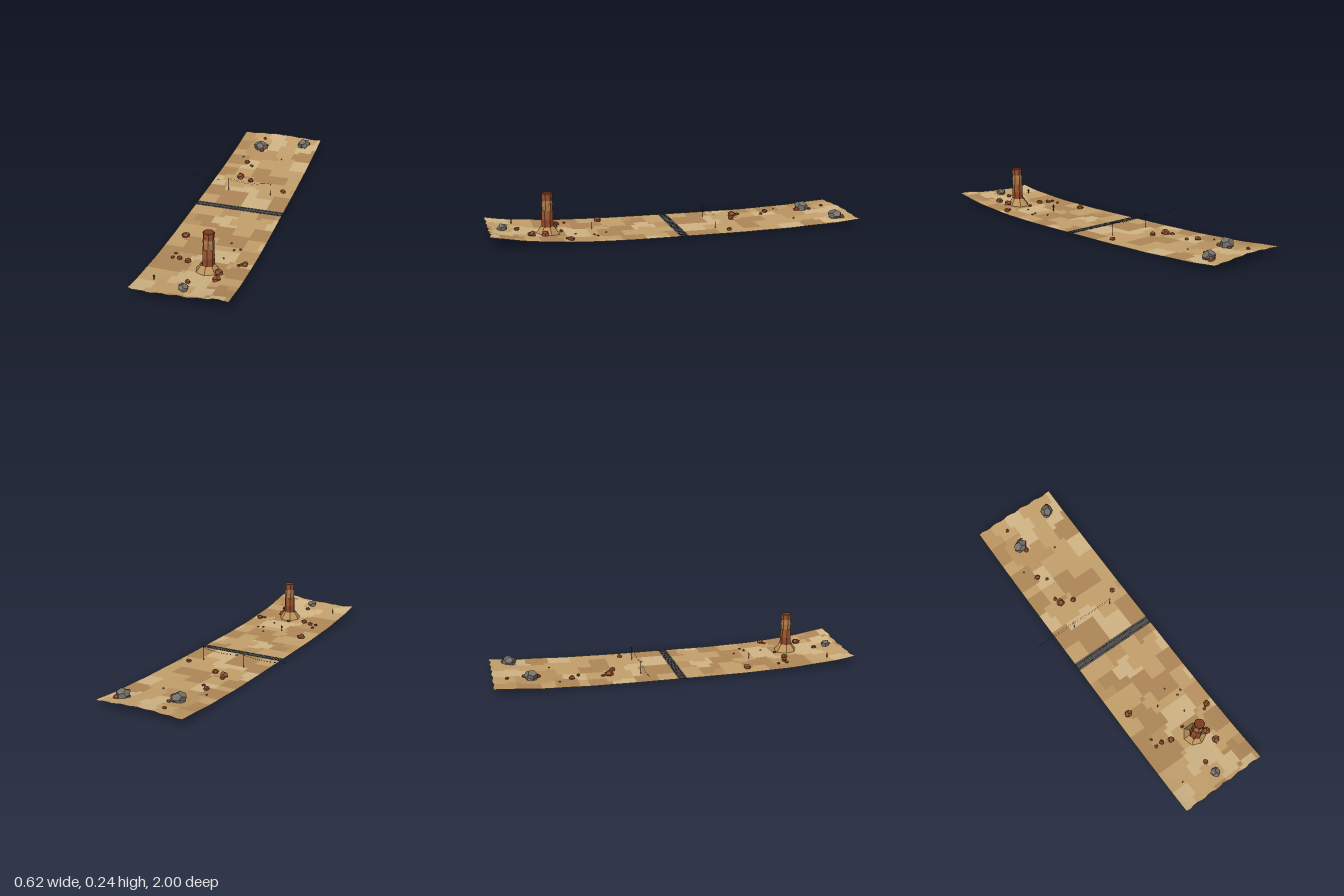
import * as THREE from 'three';

const mat = (color, side = THREE.FrontSide) => new THREE.MeshStandardMaterial({ color, side, flatShading: true });
const RED = mat(0x94502f), GREY = mat(0x77716b), DARK = mat(0x2c2a26);

const hash = (a, b = 0, c = 0) => {
  const s = Math.sin(a * 127.1 + b * 311.7 + c * 74.7) * 43758.5453;
  return s - Math.floor(s);
};

// Ground height: flat by the track, rising to wavy ends
function height(x, z) {
  const t = Math.max(0, Math.abs(z) - 0.08) / 0.92;
  const end = z > 0
    ? 0.05 + 0.011 * Math.sin((x - 0.1) * 11) + 0.004 * Math.cos(x * 22)
    : 0.033 + 0.005 * Math.sin(x * 13 + 1);
  return 0.008 + end * t ** 3 + 0.0025 * t * Math.sin(x * 17 + z * 9) * Math.cos(z * 14);
}

function add(parent, name, geometry, material, x = 0, y = 0, z = 0) {
  const mesh = new THREE.Mesh(geometry, material);
  mesh.name = name;
  mesh.position.set(x, y, z);
  parent.add(mesh);
  return mesh;
}

// Ground sheet, its quads sorted into blocky sand tones and the track bed
function makeGround() {
  const group = new THREE.Group();
  group.name = 'ground';
  const NX = 20, NZ = 80, pos = [];
  const tones = [0xc4a06c, 0xd0b484, 0xae8757, 0xba9360, 0x5c5957];
  const faces = tones.map(() => []);
  // darker patches: x0, x1, z0, z1
  const patches = [[0.03, 0.23, -0.46, -0.34], [-0.1, 0.05, -0.19, -0.03], [0.2, 0.31, -0.19, -0.04],
    [-0.19, -0.07, -0.68, -0.55], [0.05, 0.2, 0.3, 0.42], [0.2, 0.31, 0.62, 0.75], [-0.08, 0.03, 0.48, 0.56]];
  for (let j = 0; j <= NZ; j++) for (let i = 0; i <= NX; i++) {
    const x = -0.187 + 0.495 * i / NX;
    let z = -1 + 2 * j / NZ;
    const y = height(x, z);
    if (j === 0 || j === NZ) z *= 0.996 + 0.004 * Math.sin(i * 1.7);
    pos.push(x, y, z);
  }
  for (let j = 0; j < NZ; j++) for (let i = 0; i < NX; i++) {
    const x = -0.187 + 0.495 * (i + 0.5) / NX, z = -1 + 2 * (j + 0.5) / NZ;
    const shift = Math.floor(hash(Math.floor(j / 3), 5) * 3);
    const h = hash(Math.floor((i + shift) / 4), Math.floor((j + (i >> 3)) / 5), 2);
    let tone = h < 0.45 ? 0 : h < 0.7 ? 1 : h < 0.82 ? 2 : 3;
    if (patches.some(p => x > p[0] && x < p[1] && z > p[2] && z < p[3])) tone = 2;
    if (j === NZ / 2 || j === NZ / 2 - 1) tone = 4;
    const a = j * (NX + 1) + i, b = a + NX + 1;
    faces[tone].push(a, b, a + 1, a + 1, b, b + 1);
  }
  faces.forEach((index, k) => {
    let g = new THREE.BufferGeometry();
    g.setAttribute('position', new THREE.Float32BufferAttribute(pos, 3));
    g.setIndex(index);
    g = g.toNonIndexed();
    g.computeVertexNormals();
    add(group, k === 4 ? 'trackBed' : 'sand', g, mat(tones[k], THREE.DoubleSide));
  });
  return group;
}

// Flat railway track across the strip
function makeTrack() {
  const group = new THREE.Group();
  group.name = 'track';
  for (let i = 0; i < 40; i++)
    add(group, 'sleeper', new THREE.BoxGeometry(0.006, 0.0006, 0.04), mat(0x403b38), -0.181 + i * 0.01237, 0.0083, 0);
  for (const z of [-0.013, 0.013])
    add(group, 'rail', new THREE.BoxGeometry(0.495, 0.001, 0.004), mat(0x2b2b30), 0.0605, 0.0086, z);
  return group;
}

// Faceted boulder resting in the ground
function rock(parent, x, z, r, material, seed) {
  const g = new THREE.DodecahedronGeometry(r, 0), p = g.attributes.position;
  for (let i = 0; i < p.count; i++) {
    const q = [p.getX(i), p.getY(i), p.getZ(i)].map(v => Math.round(v / r * 50));
    const s = 0.8 + 0.35 * hash(q[0] + seed, q[1], q[2]);
    p.setXYZ(i, p.getX(i) * s, p.getY(i) * s * 0.85, p.getZ(i) * s * 1.1);
  }
  g.computeVertexNormals();
  const m = add(parent, 'rock', g, material, x, height(x, z) + r * 0.35, z);
  m.rotation.y = seed * 1.3;
}

// Layered rock tower on a flared, open skirt
function makeTower() {
  const group = new THREE.Group();
  group.name = 'rockTower';
  group.position.set(0.108, 0, 0.69);
  add(group, 'skirt', new THREE.CylinderGeometry(0.036, 0.078, 0.06, 7, 1, true), mat(0xc0945c, THREE.DoubleSide), 0, 0.03, 0);
  // y0, y1, lower radius, upper radius, x shift, colour
  const bands = [
    [0.045, 0.105, 0.034, 0.030, 0.003, 0x8c4729], [0.1, 0.147, 0.031, 0.031, 0.003, 0xa3592f],
    [0.143, 0.18, 0.028, 0.030, 0.005, 0xad7a48], [0.18, 0.205, 0.030, 0.026, 0.004, 0xad7a48],
    [0.2, 0.23, 0.027, 0.030, 0.006, 0x9c532e], [0.23, 0.237, 0.030, 0.028, 0.006, 0x7a3a22]];
  bands.forEach(([y0, y1, r0, r1, dx, color], i) => {
    const m = add(group, 'rockBand', new THREE.CylinderGeometry(r1, r0, y1 - y0, 7), mat(color), dx, (y0 + y1) / 2, 0);
    m.rotation.y = i < 2 ? 0.1 : 0.25;
  });
  return group;
}

// Telegraph poles with sagging wires
function makePoleLine() {
  const group = new THREE.Group();
  group.name = 'poleLine';
  const z = -0.205, span = 0.248;
  for (const x of [-0.063, 0.185]) {
    add(group, 'pole', new THREE.CylinderGeometry(0.0011, 0.0014, 0.077, 5), DARK, x, 0.0445, z);
    add(group, 'crossbar', new THREE.BoxGeometry(0.0015, 0.0015, 0.014), DARK, x, 0.079, z);
  }
  for (let k = 0; k < 2; k++) for (const [y, dz] of [[0.0805, -0.005], [0.0755, 0.005]]) {
    const x0 = -0.311 + k * span;
    const pts = [0, 0.25, 0.5, 0.75, 1].map(t => new THREE.Vector3(x0 + t * span, y - 0.044 * t * (1 - t), z + dz * 0.6));
    add(group, 'wire', new THREE.TubeGeometry(new THREE.CatmullRomCurve3(pts), 16, 0.0004, 4), DARK);
  }
  return group;
}

// Small branched cactus
function cactus(parent, x, z, h) {
  const g = new THREE.Group();
  g.name = 'cactus';
  g.position.set(x, height(x, z), z);
  const m = mat(0x3b4029);
  add(g, 'stem', new THREE.CylinderGeometry(0.002, 0.0025, h, 6), m, 0, h / 2, 0);
  for (const s of [-1, 1]) {
    add(g, 'armJoint', new THREE.BoxGeometry(0.005, 0.002, 0.002), m, s * 0.003, h * 0.55, 0);
    add(g, 'arm', new THREE.CylinderGeometry(0.0012, 0.0014, h * 0.3, 5), m, s * 0.005, h * 0.68, 0);
  }
  parent.add(g);
}

export function createModel() {
  const model = new THREE.Group();
  model.name = 'desertStrip';
  model.add(makeGround(), makeTrack(), makeTower(), makePoleLine());

  const rocks = new THREE.Group();
  rocks.name = 'rocks';
  // x, z, radius
  const red = [[-0.04, -0.92, 0.01], [-0.015, -0.757, 0.016], [-0.005, -0.83, 0.011], [0.24, -0.92, 0.016],
    [-0.06, -0.58, 0.016], [-0.02, -0.54, 0.01], [-0.04, -0.375, 0.022], [-0.052, -0.41, 0.011], [0.028, -0.345, 0.016],
    [0.245, -0.265, 0.014], [-0.116, 0.385, 0.02], [-0.1, 0.62, 0.01], [-0.064, 0.62, 0.014], [-0.016, 0.637, 0.017],
    [0.08, 0.615, 0.01], [0.265, 0.59, 0.017], [0.24, 0.605, 0.009], [0.17, 0.71, 0.021], [0.18, 0.78, 0.02],
    [0.058, 0.845, 0.014], [-0.1, 0.575, 0.008], [0.135, 0.385, 0.005], [0.2, 0.44, 0.006]];
  const grey = [[-0.035, -0.79, 0.038], [0.218, -0.89, 0.038], [0.063, 0.92, 0.026], [0.17, 0.455, 0.006],
    [0.145, 0.55, 0.005], [-0.106, -0.65, 0.005], [0.13, -0.68, 0.005]];
  red.forEach(([x, z, r], i) => rock(rocks, x, z, r, RED, i + 1));
  grey.forEach(([x, z, r], i) => rock(rocks, x, z, r, GREY, i + 40));
  model.add(rocks);

  cactus(model, 0.04, 0.445, 0.038);
  cactus(model, -0.106, 0.86, 0.028);
  return model;
}
